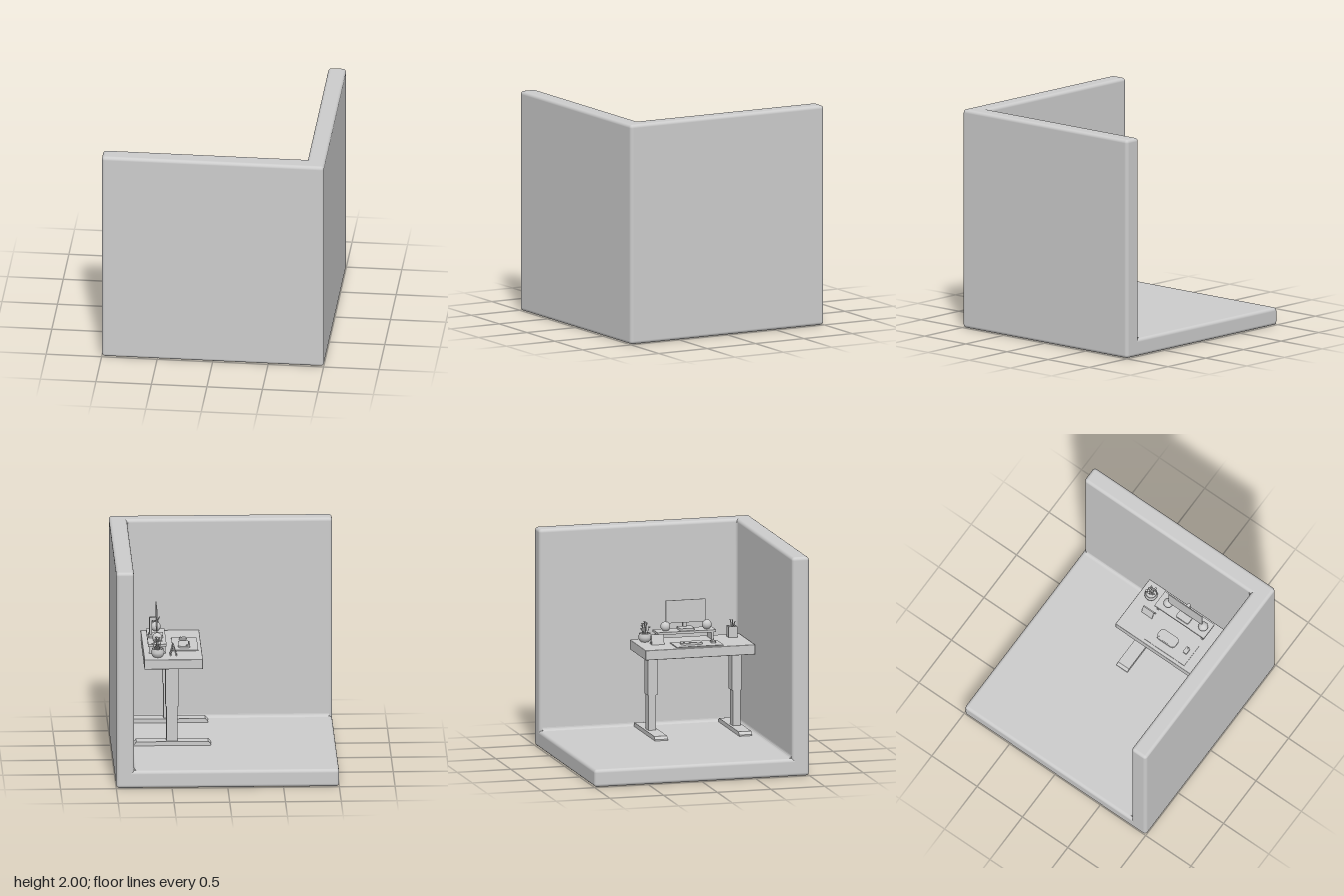
import * as THREE from 'three';
import { toCreasedNormals } from 'three/addons/utils/BufferGeometryUtils.js';
import { RoundedBoxGeometry } from 'three/addons/geometries/RoundedBoxGeometry.js';

export function createModel() {
  const model = new THREE.Group();
  model.name = 'cornerRoomWithDesk';
  const clay = new THREE.MeshStandardMaterial({ color: 0xcccccc });
  clay.name = 'light grey';

  const add = (name, geometry, x = 0, y = 0, z = 0, parent = model) => {
    const mesh = new THREE.Mesh(geometry, clay);
    mesh.name = name;
    mesh.position.set(x, y, z);
    parent.add(mesh);
    return mesh;
  };
  // Box given by its minimum and maximum corners
  const box = (name, a, b, radius = 0) => {
    const s = a.map((v, i) => b[i] - v);
    const g = radius ? new RoundedBoxGeometry(...s, 4, radius) : new THREE.BoxGeometry(...s);
    return add(name, g, ...a.map((v, i) => (v + b[i]) / 2));
  };
  // Flat plate with rounded corners, lying on height y
  const plate = (name, x0, x1, z0, z1, y, height, r) => {
    const w = (x1 - x0) / 2, d = (z1 - z0) / 2, s = new THREE.Shape();
    s.absarc(w - r, d - r, r, 0, Math.PI / 2);
    s.absarc(r - w, d - r, r, Math.PI / 2, Math.PI);
    s.absarc(r - w, r - d, r, Math.PI, Math.PI * 1.5);
    s.absarc(w - r, r - d, r, Math.PI * 1.5, Math.PI * 2);
    const g = new THREE.ExtrudeGeometry(s, { depth: height, bevelEnabled: false, curveSegments: 6 });
    g.rotateX(-Math.PI / 2);
    return add(name, toCreasedNormals(g, 0.6), (x0 + x1) / 2, y, (z0 + z1) / 2);
  };
  // Thin round stick between two points
  const stick = (name, from, to, r) => {
    const a = new THREE.Vector3(...from), b = new THREE.Vector3(...to), dir = b.clone().sub(a);
    const m = add(name, new THREE.CylinderGeometry(r, r, dir.length(), 8));
    m.position.copy(a).add(b).multiplyScalar(0.5);
    m.quaternion.setFromUnitVectors(new THREE.Vector3(0, 1, 0), dir.normalize());
  };

  // Room shell: floor and two walls with soft edges
  const IN = 0.84, FLOOR = 0.16;
  box('floor', [-1, 0, -1], [1, FLOOR, 1], 0.03);
  box('leftWall', [IN, 0, -1], [1, 2, 1], 0.03);
  box('frontWall', [-1, 0, IN], [1, 2, 1], 0.03);

  // Concave fillets along the three inner seams
  const fillet = (name, X, Y, Z, pos) => {
    const r = 0.03, s = new THREE.Shape();
    s.moveTo(0, 0).lineTo(r, 0).absarc(r, r, r, -Math.PI / 2, -Math.PI, true);
    const g = toCreasedNormals(
      new THREE.ExtrudeGeometry(s, { depth: 1.81, bevelEnabled: false, curveSegments: 8 }), 0.6);
    g.applyMatrix4(new THREE.Matrix4().makeBasis(
      new THREE.Vector3(...X), new THREE.Vector3(...Y), new THREE.Vector3(...Z)));
    add(name, g, ...pos);
  };
  fillet('leftFloorSeam', [0, 1, 0], [-1, 0, 0], [0, 0, 1], [IN, FLOOR, -0.97]);
  fillet('frontFloorSeam', [0, 0, -1], [0, 1, 0], [1, 0, 0], [-0.97, FLOOR, IN]);
  fillet('wallSeam', [0, 0, -1], [-1, 0, 0], [0, 1, 0], [IN, FLOOR, IN]);

  // Desk top and two telescopic legs on sloped feet
  const DESK = 0.975;
  box('deskTop', [0.195, 0.885, -0.19], [0.72, DESK, 0.83], 0.006);
  const footShape = new THREE.Shape([[0.12, 0], [0.81, 0], [0.81, 0.012], [0.79, 0.037], [0.145, 0.037], [0.12, 0.012]]
    .map(p => new THREE.Vector2(...p)));
  for (const z of [-0.065, 0.72]) {
    const foot = new THREE.ExtrudeGeometry(footShape, { depth: 0.12, bevelEnabled: false });
    add('foot', foot, 0, FLOOR, z - 0.06);
    box('lowerLeg', [0.42, 0.19, z - 0.036], [0.52, 0.6, z + 0.036]);
    box('upperLeg', [0.412, 0.52, z - 0.045], [0.528, 0.89, z + 0.045]);
  }

  // Monitor shelf with end supports
  const SHELF = 1.065;
  box('shelfBoard', [0.515, SHELF - 0.022, 0.01], [0.68, SHELF, 0.555]);
  for (const z of [0.03, 0.515]) box('shelfSupport', [0.525, DESK, z], [0.67, SHELF - 0.02, z + 0.02]);

  // Round speakers on the shelf
  for (const z of [0.105, 0.49]) add('speaker', new THREE.SphereGeometry(0.044, 24, 16), 0.595, 1.103, z);

  // Monitor: base, neck and thin screen
  plate('monitorBase', 0.537, 0.668, 0.228, 0.362, SHELF, 0.02, 0.015);
  box('monitorNeck', [0.635, 1.08, 0.28], [0.66, 1.24, 0.312]);
  box('monitorArm', [0.595, 1.215, 0.28], [0.66, 1.24, 0.312]);
  box('monitorScreen', [0.591, 1.13, 0.11], [0.599, 1.338, 0.48]);

  // Desk mat, keyboard and mouse
  box('deskMat', [0.227, DESK, 0.11], [0.455, 0.983, 0.545]);
  plate('keyboard', 0.297, 0.403, 0.177, 0.375, 0.983, 0.016, 0.035);
  box('keyboardStrip', [0.303, 0.995, 0.24], [0.313, 1.003, 0.32]);
  add('keyboardKnob', new THREE.CylinderGeometry(0.008, 0.008, 0.01, 12), 0.325, 1.002, 0.2);
  plate('mouse', 0.322, 0.388, 0.46, 0.5, 0.983, 0.018, 0.008);
  add('mouseWheel', new THREE.SphereGeometry(0.006, 10, 8), 0.375, 1.002, 0.48);

  // Folded tent card
  const tent = new THREE.Shape([[-0.032, 0], [-0.022, 0], [0.002, 0.075], [0.022, 0], [0.032, 0], [0.008, 0.09], [-0.004, 0.09]]
    .map(p => new THREE.Vector2(...p)));
  add('tentCard', new THREE.ExtrudeGeometry(tent, { depth: 0.115, bevelEnabled: false }), 0.455, DESK, -0.067);

  // Plant: round bowl, soil and a ring of leafy stems
  const bowl = [[0, 0], [0.035, 0], [0.054, 0.02], [0.06, 0.045], [0.05, 0.078], [0.044, 0.078], [0.044, 0.065], [0, 0.065]]
    .map(p => new THREE.Vector2(...p));
  add('plantPot', toCreasedNormals(new THREE.LatheGeometry(bowl, 28), 0.7), 0.597, DESK, -0.085);
  for (let i = 0; i < 9; i++) {
    const t = i * 2.4, r = 0.012 + 0.0045 * i, h = 1.155 - 0.008 * i;
    const x = 0.597 + r * Math.cos(t), z = -0.085 + r * Math.sin(t);
    stick('stem', [0.597 + r * 0.4 * Math.cos(t), 1.03, -0.085 + r * 0.4 * Math.sin(t)], [x, h, z], 0.003);
    const leaf = add('leaf', new THREE.SphereGeometry(0.013, 10, 8), x, h, z);
    leaf.scale.set(1, 0.55, 0.75);
    leaf.rotation.y = -t;
  }

  // Square pencil cup with leaning pencils
  const cup = new THREE.Shape([[-0.038, -0.04], [0.038, -0.04], [0.038, 0.04], [-0.038, 0.04]].map(p => new THREE.Vector2(...p)));
  cup.holes.push(new THREE.Path([[-0.028, -0.03], [-0.028, 0.03], [0.028, 0.03], [0.028, -0.03]].map(p => new THREE.Vector2(...p))));
  const cupGeometry = new THREE.ExtrudeGeometry(cup, { depth: 0.1, bevelEnabled: false }).rotateX(-Math.PI / 2);
  add('pencilCup', cupGeometry, 0.597, DESK, 0.725);
  box('cupBottom', [0.565, DESK, 0.69], [0.63, 0.985, 0.76]);
  stick('pencil', [0.62, 0.99, 0.715], [0.552, 1.125, 0.742], 0.005);
  stick('pencil', [0.58, 0.99, 0.735], [0.63, 1.13, 0.718], 0.005);
  stick('pencil', [0.615, 0.99, 0.745], [0.585, 1.135, 0.725], 0.005);

  return model;
}
